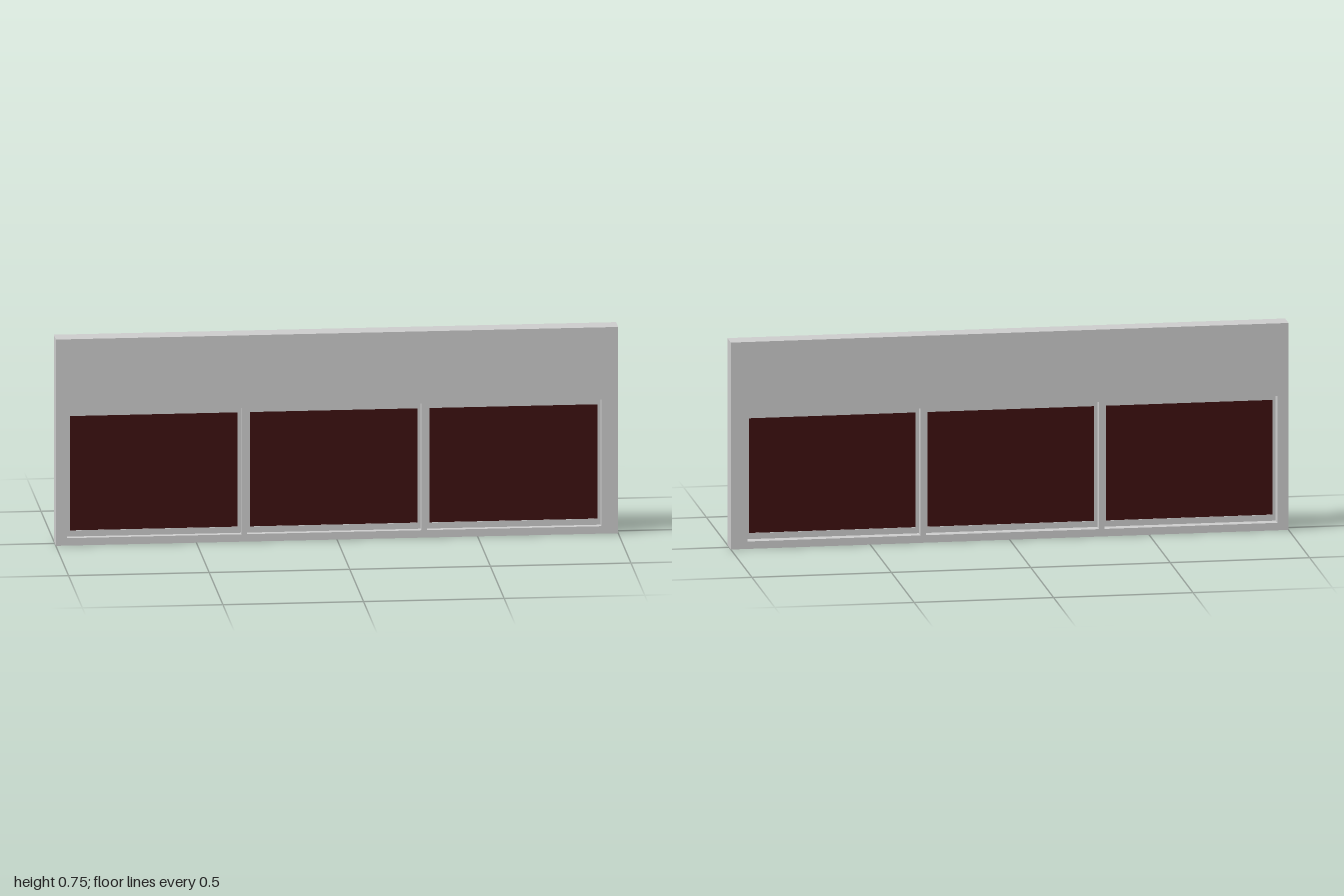
import * as THREE from 'three';

const grey = new THREE.MeshStandardMaterial({ color: 0xcccccc });
const darkRed = new THREE.MeshStandardMaterial({ color: 0x3d1010 });

const rect = (Type, x0, y0, x1, y1) => new Type([
  new THREE.Vector2(x0, y0), new THREE.Vector2(x1, y0),
  new THREE.Vector2(x1, y1), new THREE.Vector2(x0, y1),
]);

// Upright slab cut from an outline with holes, spanning z0 to z1
function slab(name, outline, holes, z0, z1, material) {
  outline.holes.push(...holes);
  const geometry = new THREE.ExtrudeGeometry(outline, { depth: z1 - z0, bevelEnabled: false });
  geometry.translate(0, 0, z0);
  const mesh = new THREE.Mesh(geometry, material);
  mesh.name = name;
  return mesh;
}

export function createModel() {
  const model = new THREE.Group();
  model.name = 'windowWall';

  const height = 0.75, halfDepth = 0.0375;
  const sill = 0.027, head = 0.487;              // opening bottom and top
  const openings = [-0.96, -0.32, 0.32].map((x) => [x, x + 0.62]);
  const side = 0.012, rail = 0.022;              // sash widths
  const sashBack = -0.0005, sashFront = 0.0135;

  // Wall with three openings
  model.add(slab('wall', rect(THREE.Shape, -1, 0, 1, height),
    openings.map(([a, b]) => rect(THREE.Path, a, sill, b, head)),
    -halfDepth, halfDepth, grey));

  // Recessed sash and pane in each opening
  for (const [a, b] of openings) {
    const inner = [a + side, sill + rail, b - side, head - rail];
    const bay = new THREE.Group();
    bay.name = 'window';
    bay.add(
      slab('sash', rect(THREE.Shape, a, sill, b, head),
        [rect(THREE.Path, ...inner)], sashBack, sashFront, grey),
      slab('pane', rect(THREE.Shape, ...inner), [], sashBack + 0.002, sashFront - 0.002, darkRed),
    );
    model.add(bay);
  }
  return model;
}
